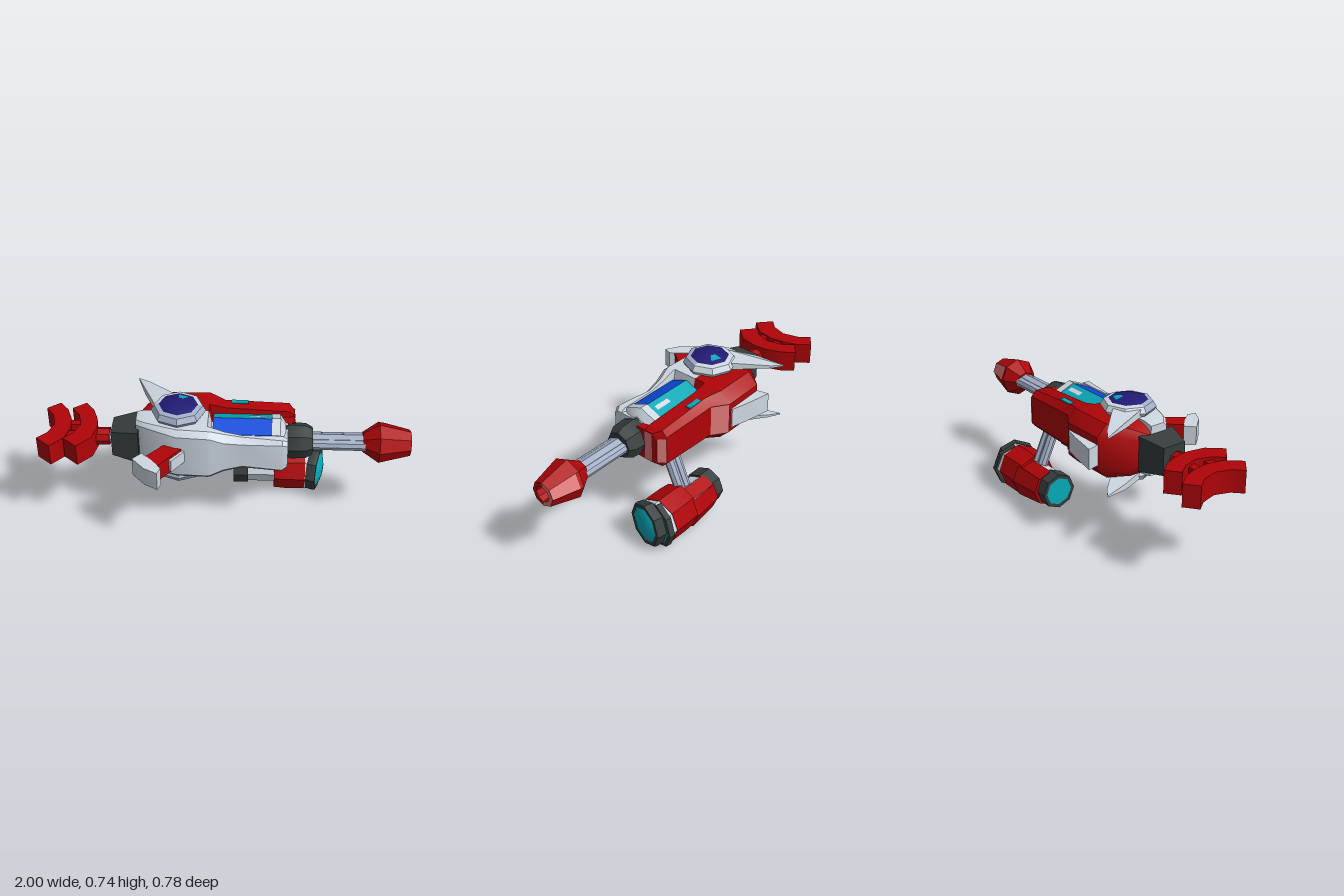
import * as THREE from 'three';
import { toCreasedNormals } from 'three/addons/utils/BufferGeometryUtils.js';

const colour = (name, hex, extra = {}) => {
  const m = new THREE.MeshStandardMaterial({ color: hex, ...extra });
  m.name = name;
  return m;
};
const CY = 0.503; // height of the main axis
const H = Math.PI / 2;

export function createModel() {
  const model = new THREE.Group();
  model.name = 'blaster';
  const white = colour('white shell', 0xced8e2);
  const steel = colour('steel', 0xa4b0c8);
  const red = colour('red', 0xb00408, { side: THREE.DoubleSide });
  const dark = colour('dark rubber', 0x363d3c);
  const navy = colour('navy glass', 0x211a74);
  const blue = colour('blue cell', 0x0a4cdc);
  const teal = colour('teal glass', 0x08a8b8);
  const pink = colour('pink', 0xe47c7c, { side: THREE.DoubleSide });

  // Mesh that is smooth on gentle bends and sharp on edges
  const add = (name, geo, mat, x = 0, y = 0, z = 0) => {
    const mesh = new THREE.Mesh(toCreasedNormals(geo, 0.6), mat);
    mesh.name = name;
    mesh.position.set(x, y, z);
    model.add(mesh);
    return mesh;
  };
  // Turned part along x from [x, radius] pairs; phi 0 faces +z, PI faces -z
  const turned = (name, pts, mat, y = CY, z = 0, start = 0, len = Math.PI * 2, seg = 8) =>
    add(name, new THREE.LatheGeometry(pts.map(([x, r]) => new THREE.Vector2(r, x)), seg, start, len)
      .rotateZ(-H), mat, 0, y, z);
  // Plate cut in plan from [x, z] points, between two heights
  const plate = (name, pts, y0, y1, mat) =>
    add(name, new THREE.ExtrudeGeometry(new THREE.Shape(pts.map(p => new THREE.Vector2(...p))),
      { depth: y1 - y0, bevelEnabled: false }).rotateX(H), mat, 0, y1, 0);
  const fromVertices = (name, v, mat) => {
    const g = new THREE.BufferGeometry();
    g.setAttribute('position', new THREE.Float32BufferAttribute(v, 3));
    return add(name, g, mat);
  };
  // Skin over rings of points that advance along +x
  const loft = (name, rings, mat) => {
    const v = [], n = rings[0].length;
    for (let i = 0; i < rings.length - 1; i++) {
      for (let j = 0; j < n; j++) {
        const k = (j + 1) % n, A = rings[i], B = rings[i + 1];
        v.push(...A[j], ...A[k], ...B[k], ...A[j], ...B[k], ...B[j]);
      }
    }
    const S = rings[0], E = rings[rings.length - 1];
    for (let j = 1; j < n - 1; j++) v.push(...S[0], ...S[j + 1], ...S[j], ...E[0], ...E[j], ...E[j + 1]);
    return fromVertices(name, v, mat);
  };
  // Half of the body: [x, depth, half height, chamfer, half height of the inner trough]
  const half = (s, rows) => rows.map(([x, d, h, c, t = h]) => {
    const w = Math.min(0.1, d - c - 0.015);
    const ring = [[t, -0.04 * s], [t, w], [h, w + 0.005], [h, d - c], [h - c, d],
      [c - h, d], [-h, d - c], [-h, w + 0.005], [-t, w], [-t, -0.04 * s]].map(([y, z]) => [x, CY + y, z * s]);
    return s > 0 ? ring : ring.reverse();
  });
  const quad = (name, [a, b, c, d], mat) => fromVertices(name, [...a, ...b, ...c, ...a, ...c, ...d], mat);

  // Body shells, open in the middle for the cell
  loft('frontShell', half(1, [[-0.47, 0.06, 0.14, 0.02], [-0.42, 0.1, 0.15, 0.02], [-0.25, 0.17, 0.152, 0.03],
    [-0.085, 0.178, 0.15, 0.03], [-0.07, 0.176, 0.148, 0.03, 0.08], [0, 0.165, 0.122, 0.035, 0.08],
    [0.1, 0.15, 0.1, 0.03, 0.08], [0.31, 0.165, 0.1, 0.02, 0.08], [0.34, 0.15, 0.085, 0.02]]), white);
  loft('rearShell', half(-1, [[-0.47, 0.09, 0.1, 0.03], [-0.42, 0.17, 0.13, 0.04], [-0.33, 0.275, 0.15, 0.06],
    [-0.085, 0.28, 0.15, 0.06], [-0.07, 0.27, 0.147, 0.057, 0.08], [0, 0.222, 0.13, 0.04, 0.08],
    [0.35, 0.22, 0.112, 0.03, 0.08], [0.38, 0.18, 0.09, 0.03]]), red);
  const face = (x0, z0, x1, z1, h) => [[x0, CY - h, z0], [x0, CY + h, z0], [x1, CY + h, z1], [x1, CY - h, z1]];
  quad('rearStep', face(-0.08, -0.283, 0.004, -0.226, 0.09), pink);
  quad('shellEnd', face(0.384, -0.1, 0.384, -0.148, 0.087), pink);
  quad('shellEndBevel', face(0.383, -0.183, 0.354, -0.222, 0.075), pink);
  for (const s of [-1, 1]) add('sideWindow', new THREE.BoxGeometry(0.09, 0.008, 0.03), teal, 0.08, CY + s * 0.127, -0.168);

  // Energy cell
  const cell = [[-0.06, 0], [-0.06, 0.137], [0.26, 0.137], [0.26, 0]];
  turned('cellFront', cell, blue, CY, 0, -H, Math.PI, 4);
  turned('cellRear', cell, teal, CY, 0, H, Math.PI, 4);
  turned('cellCap', [[0.255, 0], [0.255, 0.141], [0.3, 0.141], [0.33, 0.1], [0.33, 0]], white);
  const onCell = z => CY + 0.14 + 0.414 * z;
  quad('cellLabel', [[0.13, onCell(-0.03), -0.03], [0.23, onCell(-0.03), -0.03],
    [0.23, onCell(-0.055), -0.055], [0.13, onCell(-0.055), -0.055]], white);

  // Nose, barrel and tip
  turned('nose', [[0.31, 0], [0.31, 0.085], [0.36, 0.1], [0.44, 0.095], [0.475, 0.075], [0.475, 0]], dark);
  for (const z of [-0.033, 0.033]) turned('barrelTube', [[0.46, 0.03], [0.78, 0.03]], steel, CY, z);
  turned('barrelCore', [[0.46, 0.044], [0.78, 0.044]], steel);
  turned('tip', [[0.745, 0], [0.745, 0.055], [0.83, 0.112], [1, 0.07]], red);
  turned('tipLipFront', [[1, 0.07], [1, 0.045]], red, CY, 0, -H, Math.PI, 4);
  turned('tipLipRear', [[1, 0.07], [1, 0.045]], pink, CY, 0, H, Math.PI, 4);
  turned('tipBore', [[1, 0.045], [0.9, 0.035], [0.9, 0]], red);
  turned('tipPanel', [[0.85, 0.109], [0.998, 0.0725]], pink, CY, 0, Math.PI, Math.PI / 4, 1);

  // Neck behind the body
  const block = (x, h, d) => [[x, CY + h, -d], [x, CY + h, d], [x, CY - h, d], [x, CY - h, -d]];
  loft('neck', [block(-0.605, 0.075, 0.07), block(-0.455, 0.098, 0.11)], dark);
  turned('neckRod', [[-0.64, 0.035], [-0.58, 0.035]], steel);
  turned('clawRod', [[-0.74, 0], [-0.74, 0.048], [-0.62, 0.048], [-0.62, 0]], red);

  // Claw: two crescents joined by bars
  const crescent = [[-0.92, -0.225], [-0.87, -0.16], [-0.84, -0.08], [-0.83, 0], [-0.85, 0.1], [-0.92, 0.18],
    [-1, 0.11], [-0.95, 0.06], [-0.922, -0.02], [-0.945, -0.11], [-0.99, -0.17]];
  [0, 0.145].forEach((dx, i) => plate('claw', crescent.map(([x, z]) => [x + dx, z + i * 0.01]),
    0.437 + i * 0.01, 0.56 + i * 0.01, red));
  for (const z of [-0.05, 0.05]) add('clawBar', new THREE.BoxGeometry(0.16, 0.1, 0.045), red, -0.83, CY, z);

  // Side stubs
  plate('frontStub', [[-0.28, 0.1], [-0.22, 0.17], [-0.34, 0.33], [-0.41, 0.25]], 0.455, 0.555, red);
  plate('frontStubEnd', [[-0.47, 0.27], [-0.425, 0.22], [-0.365, 0.28], [-0.315, 0.345], [-0.33, 0.39], [-0.4, 0.35]],
    0.452, 0.558, white);
  plate('frontStubCatch', [[-0.25, 0.13], [-0.2, 0.165], [-0.268, 0.262], [-0.3, 0.235]], 0.47, 0.54, white);
  plate('rearStub', [[-0.35, -0.34], [-0.2, -0.312], [-0.1, -0.287], [-0.1, -0.26], [-0.33, -0.26]], 0.44, 0.555, white);

  // Domed discs with swept fins, above and below
  for (const s of [1, -1]) {
    const disc = (name, pts, mat, start = 0, len = Math.PI * 2, seg = 8) => {
      const p = pts.map(([r, y]) => new THREE.Vector2(r, s * y));
      if (s < 0) p.reverse();
      add(name, new THREE.LatheGeometry(p, seg, start, len), mat, -0.245, CY, -0.01);
    };
    const ring = [[0, 0.145], [0.135, 0.155], [0.148, 0.175], [0.13, 0.205], [0.105, 0.212], [0, 0.212]];
    disc('discRingFront', ring, steel, -H, Math.PI, 4);
    disc('discRingRear', ring, white, H, Math.PI, 4);
    disc('discDome', [[0.115, 0.208], [0.078, 0.222], [0, 0.235]], navy);
    if (s > 0) disc('domeGlint', [[0.08, 0.223], [0.035, 0.2315]], teal, 3 * Math.PI / 4, Math.PI / 4, 1);

    // Fin, thinning towards its point
    const fin = plate(s > 0 ? 'upperFin' : 'lowerFin', [[-0.49, -0.33], [-0.43, -0.29], [-0.28, -0.14],
      [-0.25, -0.05], [-0.37, -0.02], [-0.44, -0.18]], 0, 1, white);
    const pos = fin.geometry.attributes.position;
    for (let i = 0; i < pos.count; i++) {
      const outer = s > 0 ? pos.getY(i) + 1 : -pos.getY(i);
      const thick = 0.008 + 0.034 * Math.min(1, (pos.getZ(i) + 0.33) / 0.2);
      pos.setY(i, s * (0.155 + outer * thick));
    }
    fin.geometry.computeVertexNormals();
    fin.position.y = CY;
  }

  // Strut down to the pod
  for (const x of [0.228, 0.272]) {
    const line = new THREE.LineCurve3(new THREE.Vector3(x, 0.44, -0.14), new THREE.Vector3(x, 0.22, -0.24));
    add('strut', new THREE.TubeGeometry(line, 1, 0.028, 8), steel);
  }

  // Pod slung under the rear side, its cover lower and fuller at the back
  const PY = 0.13, PZ = -0.255;
  turned('podRearRing', [[0.045, 0.08], [0.045, 0.1], [0.13, 0.1], [0.13, 0.08]], dark, PY, PZ);
  turned('podRearGlass', [[0.048, 0], [0.048, 0.082]], teal, PY, PZ);
  turned('podNeck', [[0.12, 0.09], [0.29, 0.09]], white, PY, PZ);
  turned('podShell', [[0.28, 0.08], [0.28, 0.125], [0.34, 0.13], [0.455, 0.13], [0.455, 0.1]], red, PY, PZ);
  turned('podCover', [[0.11, 0.08], [0.11, 0.105], [0.17, 0.112], [0.27, 0.123], [0.3, 0.125]], red,
    PY, PZ - 0.012, H, 3 * Math.PI / 4, 3);
  turned('podCoverTop', [[0.11, 0.08], [0.11, 0.1], [0.28, 0.102]], red, PY, PZ - 0.012, 5 * Math.PI / 4, Math.PI / 4, 1);
  turned('podBand', [[0.45, 0.127], [0.485, 0.127]], white, PY, PZ);

  // Pod head: two rims with glass, turned slightly towards the front
  const head = [
    [turned('podBackRim', [[-0.045, 0.1], [-0.045, 0.125], [-0.012, 0.127], [-0.012, 0.104]], dark), 0.5, PY - 0.002, -0.262],
    [turned('podBackGlass', [[-0.014, 0.106], [-0.014, 0]], teal), 0.5, PY - 0.002, -0.262],
    [turned('podFrontRim', [[-0.025, 0.1], [-0.025, 0.122], [0.015, 0.126], [0.03, 0.122], [0.03, 0.1]], dark),
      0.508, PY + 0.004, -0.235],
    [turned('podLens', [[0.026, 0.104], [0.04, 0.08], [0.05, 0.045], [0.053, 0]], teal), 0.508, PY + 0.004, -0.235],
  ];
  for (const [part, x, y, z] of head) {
    part.position.set(x, y, z);
    part.rotation.y = -0.24;
  }
  return model;
}
